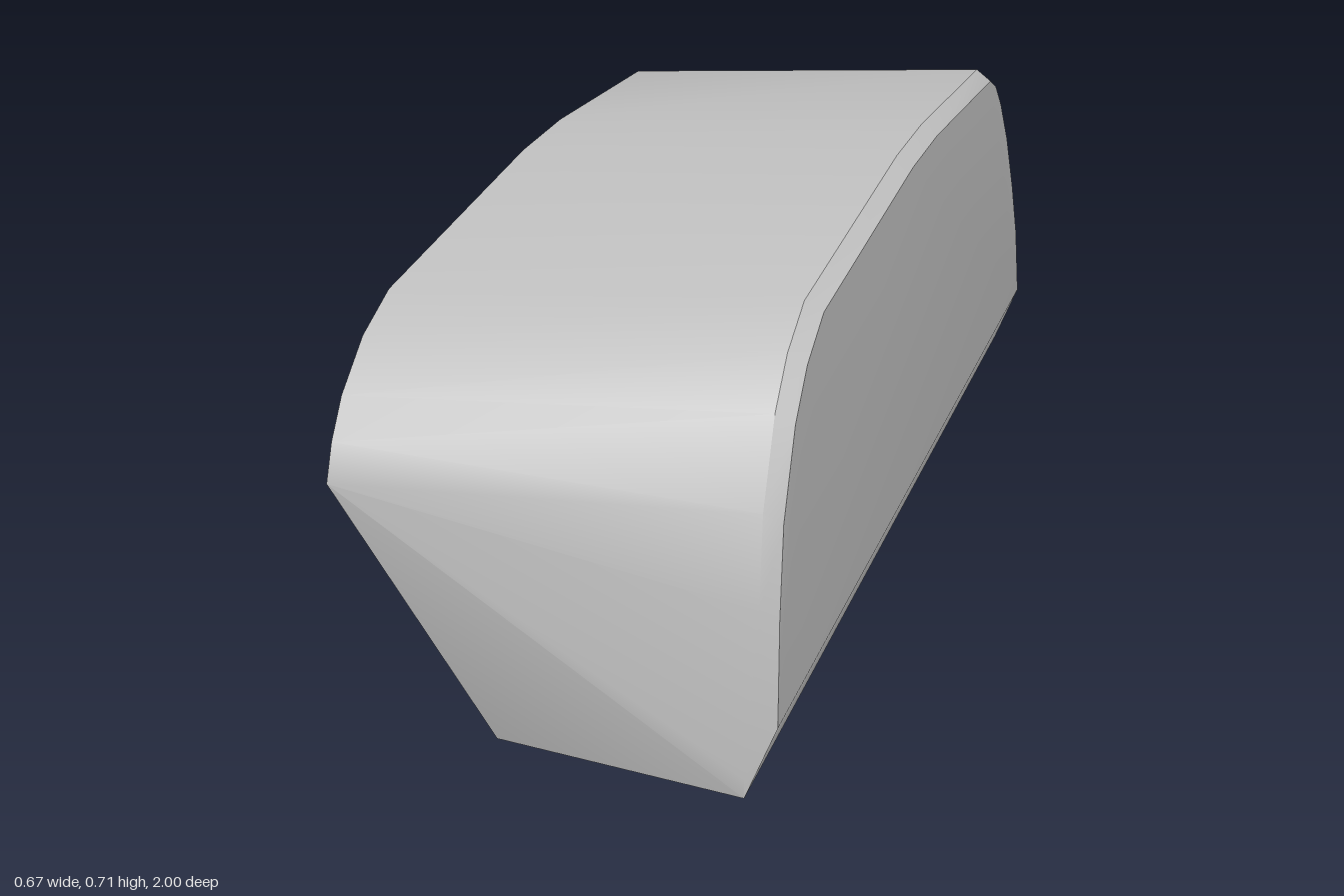
import * as THREE from 'three';
import { ConvexGeometry } from 'three/addons/geometries/ConvexGeometry.js';
import { toCreasedNormals } from 'three/addons/utils/BufferGeometryUtils.js';

export function createModel() {
  const group = new THREE.Group();
  const stone = new THREE.MeshStandardMaterial({ color: 0xc0c0c0 });
  stone.name = 'plain grey';
  const points = [];
  const add = (x, y, z) => points.push(new THREE.Vector3(x, y, z));

  // Left flank outline as [z, y], front to back, with a narrow bevel at its rim
  const leftRim = [
    [0.985, 0.3], [0.965, 0.44], [0.9, 0.565], [0.83, 0.63], [0.73, 0.675],
    [0.1, 0.708], [-0.1, 0.705], [-0.6, 0.667], [-0.66, 0.64], [-0.72, 0.59],
    [-0.8, 0.5], [-0.88, 0.38], [-0.94, 0.27], [-0.97, 0.15],
  ];
  for (const [z, y] of leftRim) {
    add(0.305, y, z);
    add(0.332, y - 0.018, z * 0.988);
  }
  // Chamfer along the left lower edge
  add(0.333, 0.12, 0.985);
  add(0.333, 0.12, -0.965);
  add(0.285, 0.037, 0.992);
  add(0.285, 0.004, 0.99);
  add(0.285, 0.004, -1);

  // Right flank outline, a little lower and shorter at the back
  const rightRim = [
    [1, 0.43], [0.975, 0.485], [0.93, 0.54], [0.84, 0.6], [0.73, 0.635],
    [0.1, 0.668], [-0.1, 0.665], [-0.57, 0.627], [-0.63, 0.6], [-0.69, 0.55],
    [-0.77, 0.46], [-0.84, 0.35], [-0.9, 0.23],
  ];
  for (const [z, y] of rightRim) add(-0.332, y, z);

  // Rounded right lower edge, ending where the front corner is sliced away
  const roundEdge = [[-0.335, 0.12], [-0.326, 0.065], [-0.311, 0.032], [-0.29, 0.012], [-0.2, 0.002]];
  for (const [x, y] of roundEdge) {
    add(x, y, 0.02);
    add(x, y, -0.95 + y * 0.2);
  }
  // Bottom tip of the sliced front corner
  add(-0.12, 0, 0.9);

  const geometry = toCreasedNormals(new ConvexGeometry(points), 0.5);
  const block = new THREE.Mesh(geometry, stone);
  block.name = 'roundedBlock';
  group.add(block);
  return group;
}
